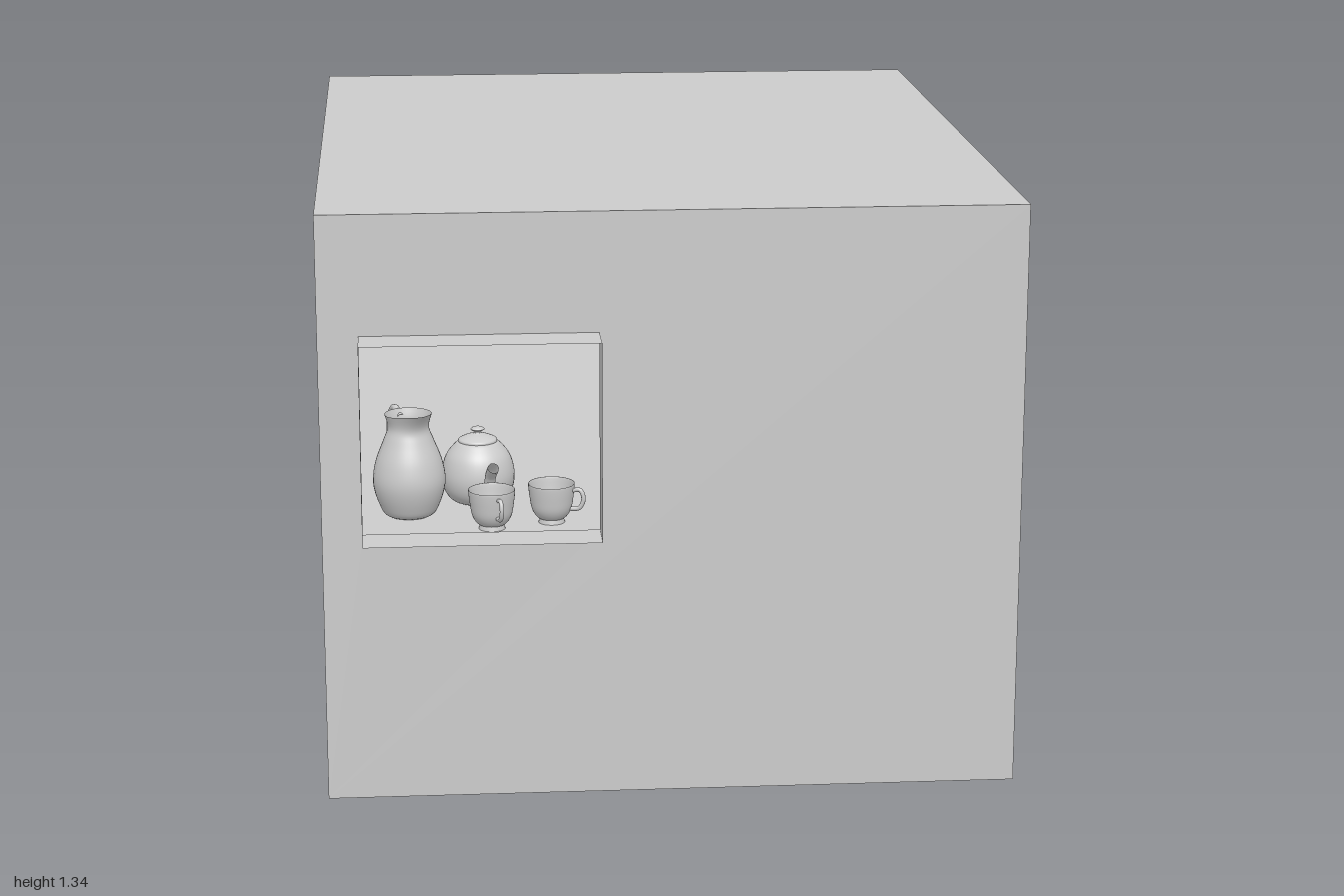
import * as THREE from 'three';

const mat = new THREE.MeshStandardMaterial({ color: 0xcccccc, side: THREE.DoubleSide });
const v2 = (p) => p.map(([x, y]) => new THREE.Vector2(x, y));

function part(parent, name, geometry, x = 0, y = 0, z = 0) {
  const mesh = new THREE.Mesh(geometry, mat);
  mesh.name = name;
  mesh.position.set(x, y, z);
  parent.add(mesh);
  return mesh;
}

// Smooth turned body from a few profile points
function turned(points) {
  return new THREE.LatheGeometry(new THREE.SplineCurve(v2(points)).getPoints(36), 40);
}

// Bent tube through points in the xy plane
function bent(points, radius) {
  const path = new THREE.CatmullRomCurve3(points.map(([x, y]) => new THREE.Vector3(x, y, 0)));
  return new THREE.TubeGeometry(path, 24, radius, 10);
}

function vessel(parent, name, x, z, turn) {
  const g = new THREE.Group();
  g.name = name;
  g.position.set(x, SHELF, z);
  g.rotation.y = turn;
  parent.add(g);
  return g;
}

// Room extents, shelf height and window opening
const W = 0.78, H = 1.34, BACK = -1, FRONT = 0.9, SHELF = 0.58;
const win = { x0: -0.69, x1: -0.165, y0: 0.62, y1: 1.07, z1: 1.0 };

function buildRoom(parent) {
  const depth = FRONT - BACK, midZ = (FRONT + BACK) / 2;

  // Front wall with window opening
  const wall = new THREE.Shape(v2([[-W, 0], [W, 0], [W, H], [-W, H]]));
  wall.holes.push(new THREE.Path(v2([
    [win.x0, win.y0], [win.x0, win.y1], [win.x1, win.y1], [win.x1, win.y0]])));
  part(parent, 'frontWall', new THREE.ShapeGeometry(wall), 0, 0, FRONT);

  // Remaining walls, ceiling, ground floor and inner shelf
  part(parent, 'backWall', new THREE.PlaneGeometry(2 * W, H), 0, H / 2, BACK).rotation.y = Math.PI;
  for (const s of [-1, 1]) {
    part(parent, s > 0 ? 'leftWall' : 'rightWall', new THREE.PlaneGeometry(depth, H),
      s * W, H / 2, midZ).rotation.y = s * Math.PI / 2;
  }
  for (const [name, y, dir] of [['ceiling', H, -1], ['floor', 0, 1], ['shelf', SHELF, -1]]) {
    part(parent, name, new THREE.PlaneGeometry(2 * W, depth), 0, y, midZ).rotation.x = dir * Math.PI / 2;
  }

  // Thin window surround standing out from the wall
  const w = win.x1 - win.x0, h = win.y1 - win.y0, d = win.z1 - FRONT;
  const cx = (win.x0 + win.x1) / 2, cy = (win.y0 + win.y1) / 2, cz = (FRONT + win.z1) / 2;
  for (const s of [-1, 1]) {
    part(parent, s > 0 ? 'windowLeftJamb' : 'windowRightJamb', new THREE.PlaneGeometry(d, h),
      cx + s * w / 2, cy, cz).rotation.y = s * Math.PI / 2;
    part(parent, s > 0 ? 'windowHead' : 'windowSill', new THREE.PlaneGeometry(w, d),
      cx, cy + s * h / 2, cz).rotation.x = -s * Math.PI / 2;
  }
}

function buildPitcher(parent) {
  // Spout lies along local +x, handle along -x
  const g = vessel(parent, 'pitcher', -0.585, 0.62, -1.2);
  const body = turned([[0, 0.002], [0.05, 0.002], [0.07, 0.03], [0.083, 0.08], [0.076, 0.13],
    [0.057, 0.18], [0.047, 0.21], [0.054, 0.24]]);
  // Pull the rim out and up into a pouring lip
  const p = body.attributes.position;
  for (let i = 0; i < p.count; i++) {
    const t = Math.max(0, (p.getY(i) - 0.19) / 0.05);
    const c = Math.max(0, p.getX(i) / Math.hypot(p.getX(i), p.getZ(i), 1e-6));
    p.setX(i, p.getX(i) + 0.018 * t * t * c ** 4);
    p.setY(i, p.getY(i) + 0.008 * t * t * c ** 2);
  }
  body.computeVertexNormals();
  part(g, 'pitcherBody', body);
  part(g, 'pitcherHandle', bent([[-0.048, 0.22], [-0.085, 0.235], [-0.115, 0.2],
    [-0.11, 0.14], [-0.078, 0.09]], 0.008));
}

function buildTeapot(parent) {
  const g = vessel(parent, 'teapot', -0.425, 0.52, -1.35);
  part(g, 'teapotBody', turned([[0, 0.002], [0.05, 0.002], [0.076, 0.025], [0.085, 0.065],
    [0.075, 0.11], [0.052, 0.14], [0.042, 0.145]]));
  part(g, 'teapotLid', turned([[0.045, 0.145], [0.043, 0.151], [0.025, 0.159], [0.009, 0.163],
    [0.009, 0.168], [0.016, 0.173], [0.01, 0.178], [0, 0.179]]));
  part(g, 'teapotSpout', bent([[0.06, 0.05], [0.1, 0.062], [0.12, 0.095], [0.145, 0.118]], 0.013));
  part(g, 'teapotHandle', bent([[-0.062, 0.12], [-0.105, 0.125], [-0.13, 0.1],
    [-0.115, 0.06], [-0.08, 0.045]], 0.008));
}

function buildCup(parent, name, x, z, turn) {
  const g = vessel(parent, name, x, z, turn);
  part(g, 'cupBowl', turned([[0, 0.01], [0.028, 0.01], [0.044, 0.03], [0.05, 0.06], [0.053, 0.088],
    [0.051, 0.088], [0.046, 0.055], [0.038, 0.03], [0, 0.018]]));
  part(g, 'cupFoot', new THREE.CylinderGeometry(0.027, 0.03, 0.012, 32), 0, 0.006, 0);
  part(g, 'cupHandle', bent([[0.05, 0.078], [0.068, 0.08], [0.076, 0.06], [0.066, 0.038], [0.045, 0.034]], 0.005));
}

export function createModel() {
  const model = new THREE.Group();
  model.name = 'roomWithWindowStillLife';
  buildRoom(model);
  buildPitcher(model);
  buildTeapot(model);
  buildCup(model, 'frontCup', -0.4, 0.74, -1.3);
  buildCup(model, 'sideCup', -0.263, 0.7, -0.35);
  return model;
}
